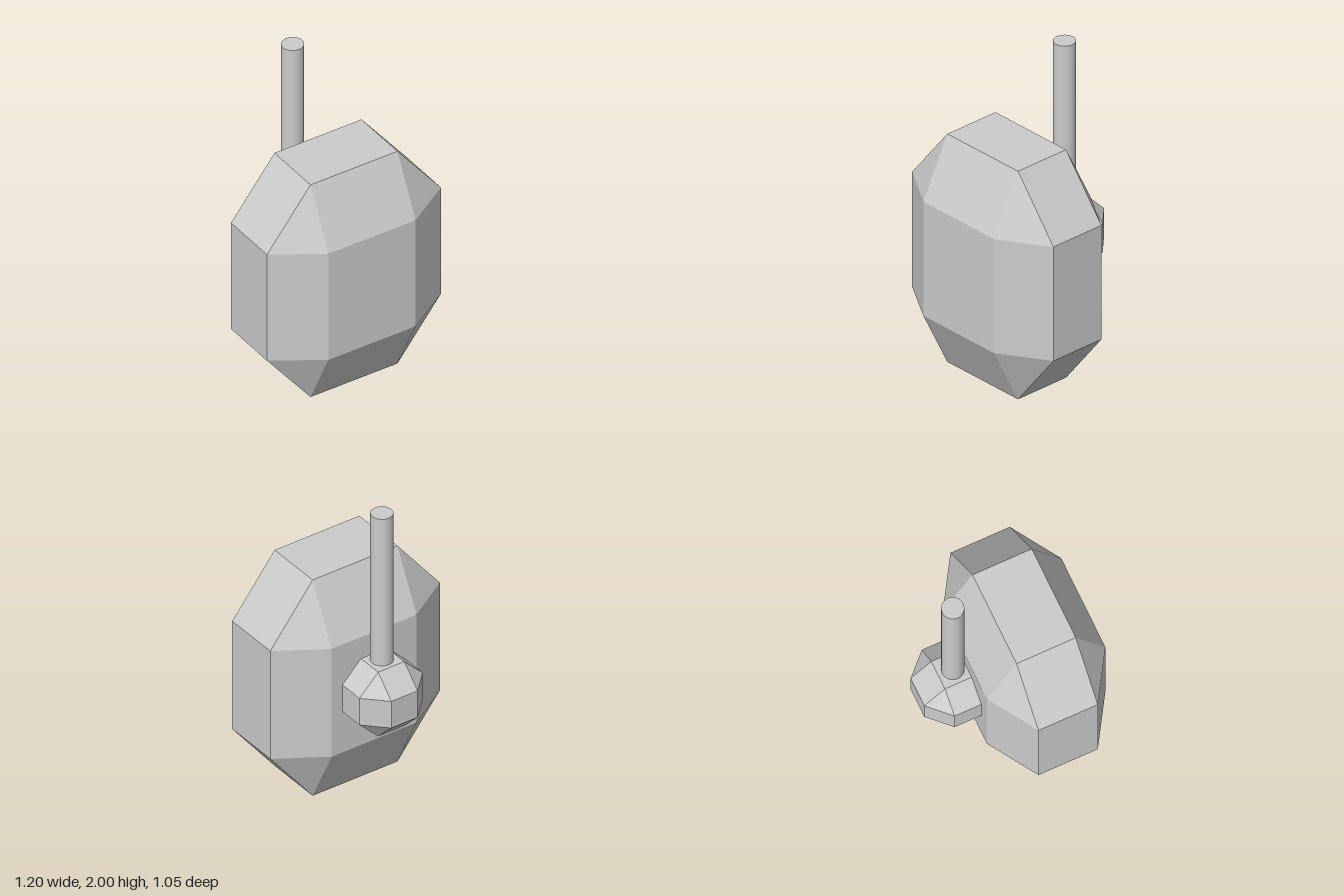
import * as THREE from 'three';
import { ConvexGeometry } from 'three/addons/geometries/ConvexGeometry.js';

const grey = new THREE.MeshStandardMaterial({ color: 0xcccccc });
const greyFlat = new THREE.MeshStandardMaterial({ color: 0xcccccc, flatShading: true });

// Box with every edge and corner cut: each face keeps only its inner part.
function chamferedBlock(name, half, keep) {
  const points = [];
  for (const sx of [-1, 1]) for (const sy of [-1, 1]) for (const sz of [-1, 1]) {
    for (let axis = 0; axis < 3; axis++) {
      const p = [sx, sy, sz].map((s, i) => s * half[i] * (i === axis ? 1 : keep));
      points.push(new THREE.Vector3(...p));
    }
  }
  const mesh = new THREE.Mesh(new ConvexGeometry(points), greyFlat);
  mesh.name = name;
  return mesh;
}

export function createModel() {
  const model = new THREE.Group();
  model.name = 'model';

  // Large faceted body
  const body = chamferedBlock('body', [0.6, 0.752, 0.376], 0.5);
  body.position.set(0, 0.752, 0.15);

  // Small faceted knob, partly sunk into the back of the body
  const knob = chamferedBlock('knob', [0.224, 0.224, 0.224], Math.SQRT2 - 1);
  knob.position.set(0, 0.754, -0.303);

  // Upright rod standing on the knob
  const bottom = 0.95, top = 2;
  const rod = new THREE.Mesh(new THREE.CylinderGeometry(0.067, 0.067, top - bottom, 32), grey);
  rod.name = 'rod';
  rod.position.set(0, (top + bottom) / 2, -0.303);

  model.add(body, knob, rod);
  return model;
}
